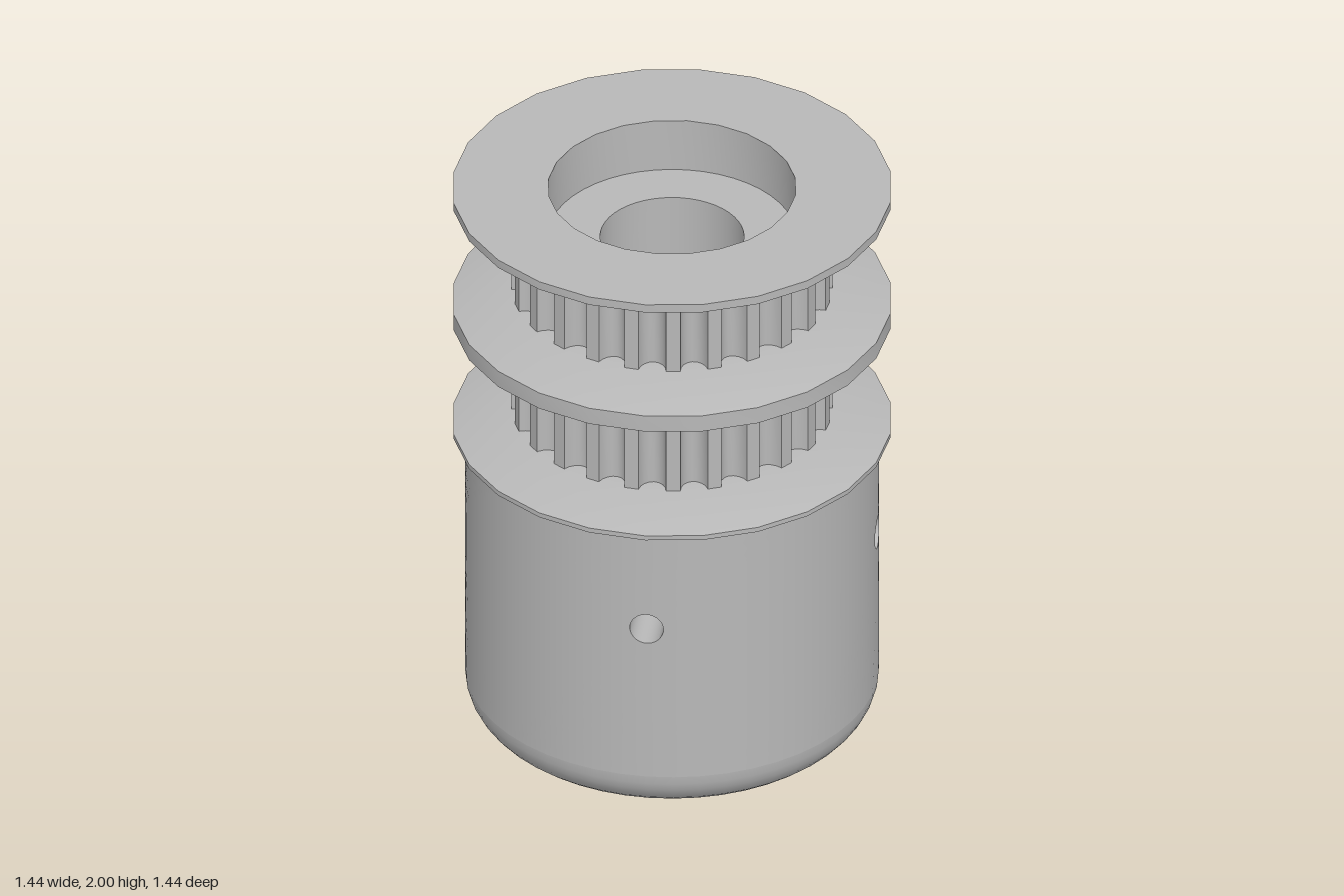
import * as THREE from 'three';
import { toCreasedNormals } from 'three/addons/utils/BufferGeometryUtils.js';

const HUB_R = 0.675, BORE_R = 0.235, HOLE_R = 0.055, HOLE_Y = 0.72;
const AROUND = 48;

// Surface from a rule fn(i, t) -> Vector3, with i around and t from 0 to 1
function grid(rows, fn, flip = false) {
  const pos = [], index = [];
  for (let j = 0; j <= rows; j++)
    for (let i = 0; i <= AROUND; i++) pos.push(...fn(i, j / rows).toArray());
  for (let j = 0; j < rows; j++)
    for (let i = 0; i < AROUND; i++) {
      const a = j * (AROUND + 1) + i, b = a + 1, d = a + AROUND + 1, c = d + 1;
      if (flip) index.push(a, c, b, a, d, c);
      else index.push(a, b, c, a, c, d);
    }
  const geo = new THREE.BufferGeometry();
  geo.setAttribute('position', new THREE.Float32BufferAttribute(pos, 3));
  geo.setIndex(index);
  geo.computeVertexNormals();
  return geo;
}

const holeAngle = (i) => -Math.PI / 4 + (i / AROUND) * Math.PI * 2;

// Quarter of a cylinder wall, pierced by one round hole in its middle
function piercedWall(r, y0, y1, inward) {
  const geo = grid(8, (i, t) => {
    const side = Math.floor(i / 12) % 4, f = (i % 12) / 6 - 1;
    const [u, v] = [[1, f], [-f, 1], [-1, -f], [f, -1]][side];
    const th = holeAngle(i);
    const a = THREE.MathUtils.lerp(u * Math.PI / 4, Math.asin(HOLE_R * Math.cos(th) / r), t);
    const y = THREE.MathUtils.lerp(y0 + (y1 - y0) * (v + 1) / 2, HOLE_Y + HOLE_R * Math.sin(th), t);
    return new THREE.Vector3(r * Math.sin(a), y, r * Math.cos(a));
  }, inward);
  // exact radial normals keep the wall smooth across the quarters
  const p = geo.attributes.position, s = (inward ? -1 : 1) / r;
  for (let k = 0; k < p.count; k++) geo.attributes.normal.setXYZ(k, p.getX(k) * s, 0, p.getZ(k) * s);
  return geo;
}

// Inside of a screw hole, running from the outer wall to the bore
function holeLining() {
  return grid(1, (i, t) => {
    const th = holeAngle(i), x = HOLE_R * Math.cos(th), r = t ? BORE_R : HUB_R;
    return new THREE.Vector3(x, HOLE_Y + HOLE_R * Math.sin(th), Math.sqrt(r * r - x * x));
  });
}

function lathe(points, segments) {
  const geo = new THREE.LatheGeometry(points.map(([x, y]) => new THREE.Vector2(x, y)), segments);
  return toCreasedNormals(geo, 0.6);
}

// Toothed ring with rounded grooves
function toothedRing(y0, y1) {
  const teeth = 24, outer = 0.524, depth = 0.053, half = 0.086;
  const shape = new THREE.Shape();
  for (let k = 0; k < teeth; k++) {
    for (let s = 0; s <= 8; s++) {
      const q = -Math.cos((s / 8) * Math.PI);
      const r = outer - depth * Math.pow(1 - q * q, 0.5);
      const a = (k / teeth) * Math.PI * 2 + q * half;
      const x = r * Math.cos(a), y = r * Math.sin(a);
      if (k + s === 0) shape.moveTo(x, y);
      else shape.lineTo(x, y);
    }
  }
  shape.closePath();
  shape.holes.push(new THREE.Path().absarc(0, 0, 0.42, 0, Math.PI * 2, true));
  const geo = new THREE.ExtrudeGeometry(shape, { depth: y1 - y0, bevelEnabled: false, curveSegments: 24 });
  geo.rotateX(-Math.PI / 2);
  geo.translate(0, y0, 0);
  return toCreasedNormals(geo, 0.6);
}

export function createModel() {
  const model = new THREE.Group();
  model.name = 'beltPulley';
  const metal = new THREE.MeshStandardMaterial({ color: 0xb8b8b8 });
  metal.name = 'grey metal';
  const add = (name, geo, turn = 0) => {
    const mesh = new THREE.Mesh(geo, metal);
    mesh.name = name;
    mesh.rotation.y = turn;
    model.add(mesh);
  };

  // Hub base with a rounded lower edge
  const fillet = 0.15, base = [[BORE_R, 0]];
  for (let i = 0; i <= 8; i++) {
    const a = (i / 8) * Math.PI / 2;
    base.push([HUB_R - fillet + fillet * Math.sin(a), fillet - fillet * Math.cos(a)]);
  }
  add('hubBase', lathe(base, AROUND));

  // Hub wall, bore and the four screw holes
  const wall = piercedWall(HUB_R, fillet, 1.09, false);
  const bore = piercedWall(BORE_R, 0, 1.81, true);
  const lining = holeLining();
  for (let k = 0; k < 4; k++) {
    const turn = k * Math.PI / 2;
    add('hubWall', wall, turn);
    add('bore', bore, turn);
    add('screwHole', lining, turn);
  }

  // Belt tracks
  add('lowerTeeth', toothedRing(1.15, 1.47));
  add('upperTeeth', toothedRing(1.61, 1.93));

  // Flanges
  add('lowerFlange', lathe([[0.64, 1.09], [0.718, 1.09], [0.718, 1.107], [0.525, 1.16], [0.44, 1.16]], 24));
  add('middleFlange', lathe(
    [[0.44, 1.457], [0.525, 1.457], [0.718, 1.51], [0.718, 1.57], [0.525, 1.623], [0.44, 1.623]], 24));
  add('topFlange', lathe([[0.44, 1.917], [0.525, 1.917], [0.718, 1.97], [0.718, 2], [0.405, 2]], 24));

  // Counterbore in the top
  add('counterbore', lathe([[0.405, 2], [0.405, 1.81], [BORE_R, 1.81]], AROUND));

  return model;
}
